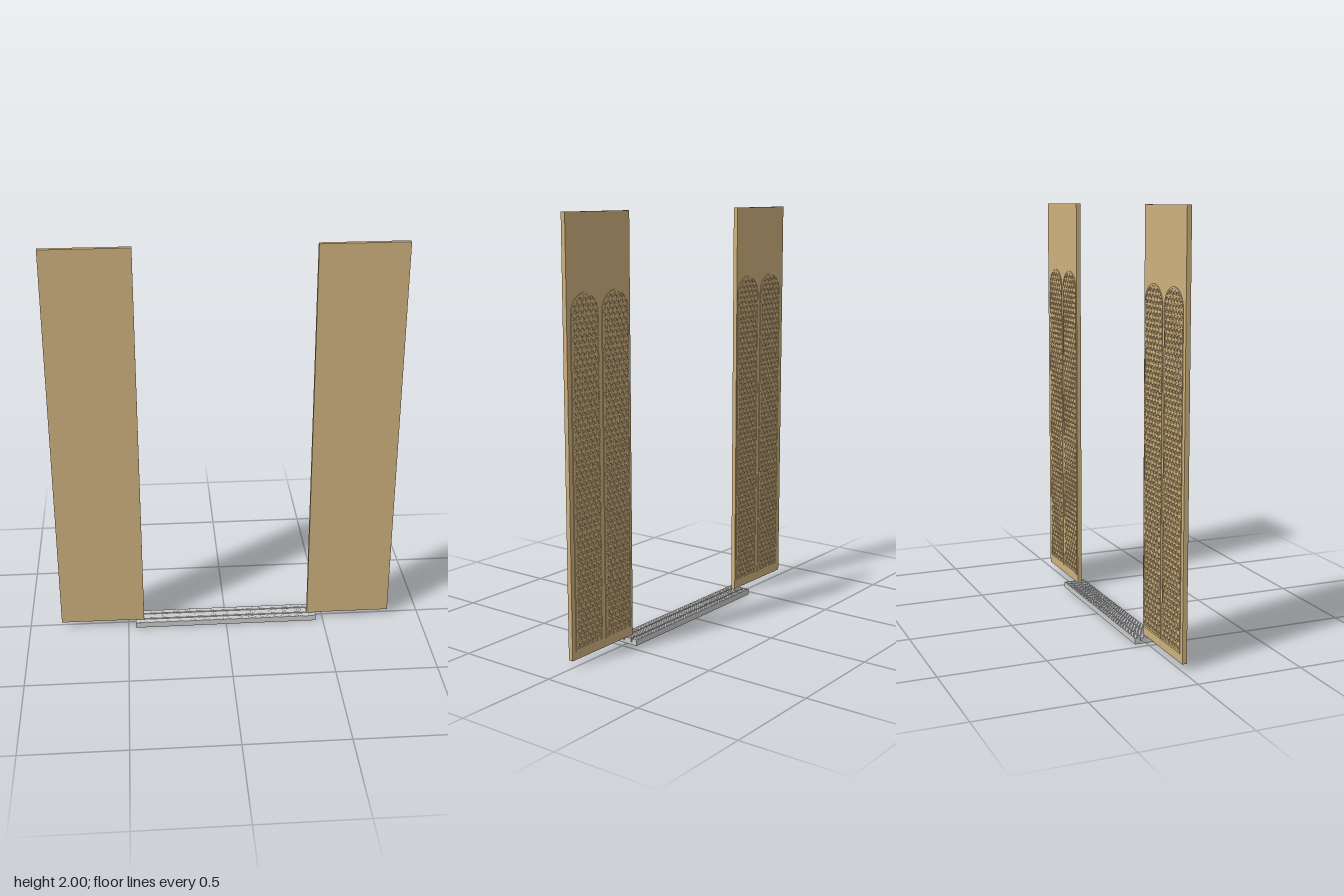
import * as THREE from 'three';
import { mergeGeometries } from 'three/addons/utils/BufferGeometryUtils.js';

const wood = new THREE.MeshStandardMaterial({ color: 0xcfb27e });
const metal = new THREE.MeshStandardMaterial({ color: 0xcccccc });

const DOOR = { inner: 0.42, outer: 0.84, bottom: 0.03, top: 2, back: 0.003, front: 0.025 };
const PANEL = { width: 0.185, bottom: 0.07, top: 1.66, rim: 0.009 };
const RELIEF = 0.003;

function addMesh(parent, name, geometry, material) {
  const mesh = new THREE.Mesh(geometry, material);
  mesh.name = name;
  parent.add(mesh);
  return mesh;
}

// Round-headed outline centred on x = 0, shrunk by an inset
function archOutline(Type, inset) {
  const r = PANEL.width / 2 - inset;
  const spring = PANEL.top - PANEL.width / 2;
  const path = new Type();
  path.moveTo(-r, PANEL.bottom + inset);
  path.lineTo(r, PANEL.bottom + inset);
  path.lineTo(r, spring);
  path.absarc(0, spring, r, 0, Math.PI, false);
  path.closePath();
  return path;
}

function insideArch(x, y, inset) {
  const r = PANEL.width / 2 - inset;
  const spring = PANEL.top - PANEL.width / 2;
  if (y < PANEL.bottom + inset || Math.abs(x) > r) return false;
  return y <= spring || Math.hypot(x, y - spring) <= r;
}

// Three families of parallel bars, each cut to the arch
function latticeGeometry() {
  const bars = [];
  const pitch = 0.026, barWidth = 0.006, step = 0.001;
  const midY = (PANEL.bottom + PANEL.top) / 2;
  for (const [k, angle] of [0, Math.PI / 3, -Math.PI / 3].entries()) {
    const dx = Math.cos(angle), dy = Math.sin(angle);
    for (let i = -32; i <= 32; i++) {
      const ox = -dy * i * pitch, oy = midY + dx * i * pitch;
      // slide along the bar so it crosses the panel's centre line at t = 0
      const cy = oy - (ox / dx) * dy;
      let from = null, to = null;
      for (let t = -0.24; t <= 0.24; t += step) {
        if (!insideArch(t * dx, cy + t * dy, PANEL.rim * 0.7)) continue;
        if (from === null) from = t;
        to = t;
      }
      if (from === null || to - from < 0.01) continue;
      const depth = RELIEF * 0.8 - k * 0.0001;
      const bar = new THREE.BoxGeometry(to - from, barWidth, depth);
      bar.translate((from + to) / 2, 0, -depth / 2);
      bar.rotateZ(angle);
      bar.translate(0, cy, 0);
      bars.push(bar);
    }
  }
  return mergeGeometries(bars);
}

function frameGeometry() {
  const shape = archOutline(THREE.Shape, 0);
  shape.holes.push(archOutline(THREE.Path, PANEL.rim));
  const geo = new THREE.ExtrudeGeometry(shape, { depth: RELIEF, bevelEnabled: false, curveSegments: 20 });
  return geo.translate(0, 0, -RELIEF);
}

function createDoor(side, frame, lattice) {
  const door = new THREE.Group();
  door.name = side > 0 ? 'leftDoor' : 'rightDoor';
  const height = DOOR.top - DOOR.bottom, depth = DOOR.front - DOOR.back;
  const leaf = addMesh(door, 'doorLeaf', new THREE.BoxGeometry(DOOR.outer - DOOR.inner, height, depth), wood);
  leaf.position.set(side * (DOOR.inner + DOOR.outer) / 2, DOOR.bottom + height / 2, DOOR.back + depth / 2);

  // Two arched relief panels on the back face
  for (const x of [0.5205, 0.7235]) {
    const panel = new THREE.Group();
    panel.name = 'archedPanel';
    panel.position.set(side * x, 0, DOOR.back);
    addMesh(panel, 'panelFrame', frame, wood);
    addMesh(panel, 'panelLattice', lattice, wood);
    door.add(panel);
  }
  return door;
}

function createSill() {
  const sill = new THREE.Group();
  sill.name = 'sill';
  const half = 0.463, depth = 0.055, top = 0.0288, grooves = [-0.024, 0.022], w = 0.003;

  // Cross-section with two guide grooves, swept along x
  const profile = new THREE.Shape();
  profile.moveTo(-depth, 0);
  profile.lineTo(depth, 0);
  profile.lineTo(depth, top);
  for (const z of grooves) {
    const c = -z;
    profile.lineTo(c + w, top);
    profile.lineTo(c + w, 0.012);
    profile.lineTo(c - w, 0.012);
    profile.lineTo(c - w, top);
  }
  profile.lineTo(-depth, top);
  profile.closePath();
  const body = new THREE.ExtrudeGeometry(profile, { depth: 2 * half, bevelEnabled: false });
  body.translate(0, 0, -half).rotateY(Math.PI / 2);
  addMesh(sill, 'sillBody', body, metal);

  // Fine tread ribs across the three lands
  const ribs = [];
  const lands = [[-depth, -0.029], [-0.019, 0.017], [0.027, depth]];
  for (const [z0, z1] of lands) {
    for (let i = -38; i <= 38; i++) {
      const rib = new THREE.BoxGeometry(0.006, 0.0012, z1 - z0 - 0.004);
      ribs.push(rib.translate(i * 0.012, top + 0.0006, (z0 + z1) / 2));
    }
  }
  addMesh(sill, 'sillTread', mergeGeometries(ribs), metal);
  return sill;
}

export function createModel() {
  const model = new THREE.Group();
  model.name = 'slidingDoors';
  const frame = frameGeometry(), lattice = latticeGeometry();
  for (const side of [-1, 1]) model.add(createDoor(side, frame, lattice));
  model.add(createSill());
  return model;
}
